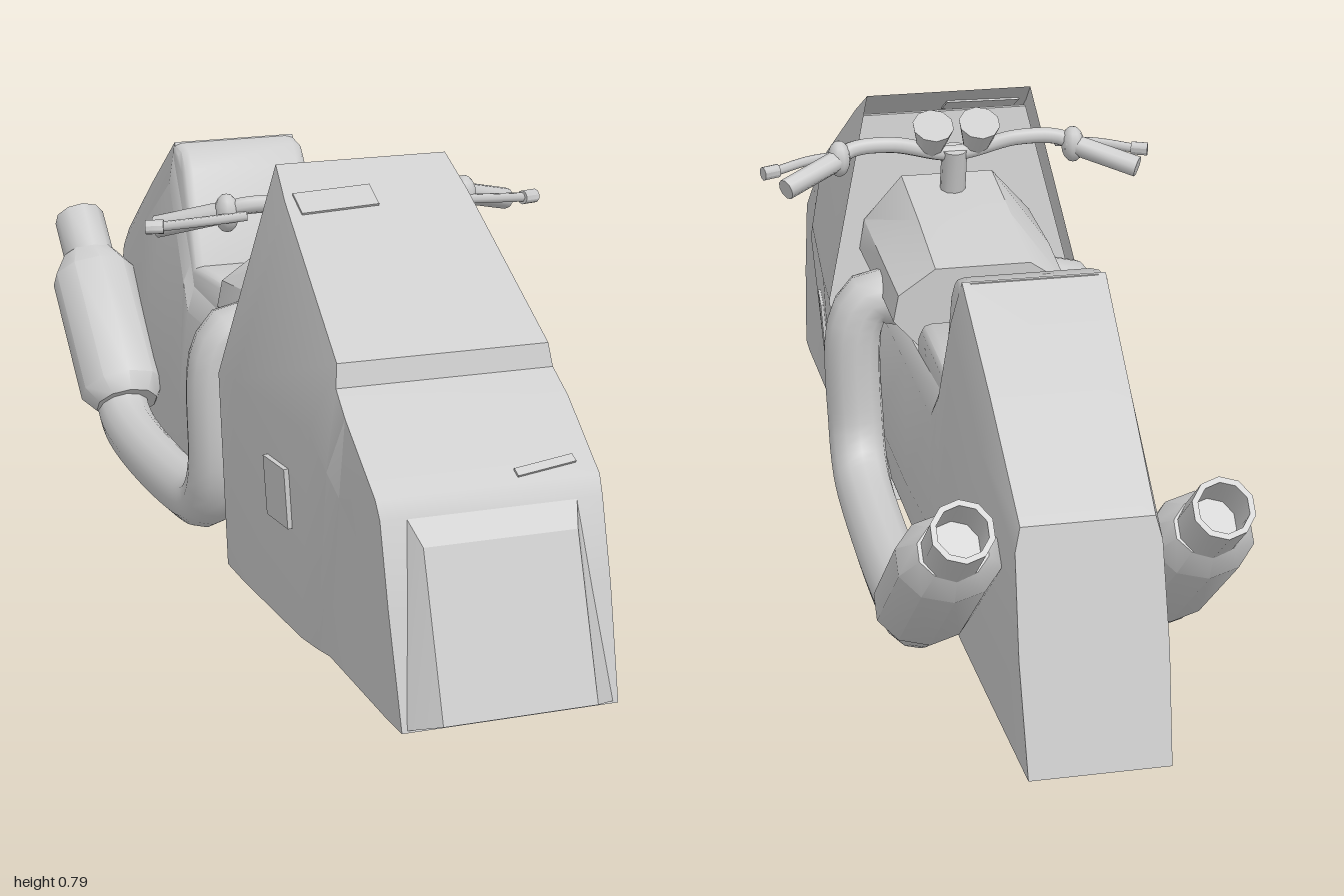
import * as THREE from 'three';
import { toCreasedNormals } from 'three/addons/utils/BufferGeometryUtils.js';

const V = (x, y, z) => new THREE.Vector3(x, y, z);

export function createModel() {
  const model = new THREE.Group();
  const grey = new THREE.MeshStandardMaterial({ color: 0xcccccc });
  const greyBoth = new THREE.MeshStandardMaterial({ color: 0xcccccc, side: THREE.DoubleSide });

  function add(name, geometry, material = grey) {
    const mesh = new THREE.Mesh(geometry, material);
    mesh.name = name;
    model.add(mesh);
    return mesh;
  }

  // Mirrors half sections (bottom to top, +x side) and skins them front to back
  function loft(halves, { front = true, back = true, crease = 0.6 } = {}) {
    const rings = halves.map(h => [...h, ...h.map(([x, y, z]) => [-x, y, z]).reverse()]);
    const n = rings[0].length, pos = rings.flat(2), idx = [];
    for (let i = 0; i < rings.length - 1; i++) {
      for (let j = 0; j < n; j++) {
        const k = (j + 1) % n, a = i * n + j, b = i * n + k;
        idx.push(a, a + n, b + n, a, b + n, b);
      }
    }
    const cap = (i, flip) => {
      const c = pos.length / 3;
      for (let k = 0; k < 3; k++) pos.push(rings[i].reduce((s, p) => s + p[k], 0) / n);
      for (let j = 0; j < n; j++) {
        const a = i * n + j, b = i * n + (j + 1) % n;
        idx.push(c, flip ? b : a, flip ? a : b);
      }
    };
    if (front) cap(0, false);
    if (back) cap(rings.length - 1, true);
    const g = new THREE.BufferGeometry();
    g.setAttribute('position', new THREE.Float32BufferAttribute(pos, 3));
    g.setIndex(idx);
    return toCreasedNormals(g, crease);
  }

  function tube(name, points, radius, sides = 10) {
    const path = new THREE.CatmullRomCurve3(points.map(p => V(...p)), false, 'centripetal');
    return add(name, new THREE.TubeGeometry(path, points.length * 5, radius, sides), greyBoth);
  }

  // Solid rod between two points
  function rod(name, a, b, r1, r2 = r1, sides = 10) {
    const from = V(...a), to = V(...b), dir = to.clone().sub(from);
    const g = toCreasedNormals(new THREE.CylinderGeometry(r2, r1, dir.length(), sides), 0.9);
    const m = add(name, g);
    m.position.copy(from).add(to).multiplyScalar(0.5);
    m.quaternion.setFromUnitVectors(V(0, 1, 0), dir.normalize());
    return m;
  }

  // Front cowl: bottom, waist and upper edge of each section
  const cowl = [
    [[0.19, 0.01, 0.96], [0.195, 0.2, 0.908], [0.195, 0.34, 0.867]],
    [[0.192, 0.01, 0.9], [0.196, 0.22, 0.87], [0.197, 0.37, 0.85]],
    [[0.19, 0.01, 0.62], [0.2, 0.32, 0.69], [0.199, 0.465, 0.715]],
    [[0.195, 0.005, 0.57], [0.215, 0.36, 0.67], [0.195, 0.5, 0.66]],
    [[0.2, 0, 0.5], [0.222, 0.41, 0.6], [0.19, 0.54, 0.65]],
    [[0.21, 0, 0.21], [0.248, 0.41, 0.28], [0.17, 0.74, 0.33]],
    [[0.21, 0, 0.11], [0.25, 0.4, 0.19], [0.16, 0.79, 0.25]],
  ];
  add('frontCowl', loft(cowl, { back: false, crease: 0.4 }), greyBoth);

  // Recessed panel behind the windshield
  const inset = cowl[5].map(([x, y, z]) => [x * 0.98, y * 0.98 + 0.004, z]);
  add('cowlBackPanel', loft([inset, inset.map(([x, y, z]) => [x, y, z - 0.01])]));

  // Raised nose grille with sloping surround
  add('noseGrille', loft([
    [[0.135, 0.03, 1.0], [0.135, 0.3, 0.905]],
    [[0.185, 0.012, 0.955], [0.15, 0.34, 0.865]],
  ], { crease: 0.2 }));

  // Small patches on the windshield, nose and flanks
  const shieldPatch = add('windshieldPatch', new THREE.BoxGeometry(0.145, 0.05, 0.008));
  shieldPatch.position.set(-0.078, 0.738, 0.334);
  shieldPatch.rotation.set(-1.01, 0, 0.06);
  const slit = add('noseSlit', new THREE.BoxGeometry(0.11, 0.016, 0.008));
  slit.position.set(0.108, 0.386, 0.828);
  slit.rotation.set(-0.95, 0, 0.15);
  for (const s of [1, -1]) {
    const vent = add('sideVent', new THREE.BoxGeometry(0.014, 0.11, 0.09));
    vent.position.set(s * 0.222, 0.255, 0.445);
    vent.rotation.set(0, -s * 0.09, -s * 0.07);
  }

  // Main body with tall tail
  add('mainBody', loft([
    [[0.13, 0.005, 0.25], [0.15, 0.12, 0.25], [0.15, 0.37, 0.25], [0.13, 0.4, 0.25]],
    [[0.13, 0.005, -0.07], [0.15, 0.12, -0.07], [0.15, 0.37, -0.07], [0.13, 0.4, -0.07]],
    [[0.13, 0.005, -0.3], [0.15, 0.14, -0.3], [0.15, 0.37, -0.33], [0.13, 0.415, -0.35]],
    [[0.13, 0.005, -0.4], [0.15, 0.16, -0.4], [0.145, 0.42, -0.375], [0.13, 0.46, -0.37]],
    [[0.13, 0.005, -0.5], [0.148, 0.2, -0.5], [0.142, 0.6, -0.475], [0.125, 0.68, -0.49]],
    [[0.125, 0.005, -0.72], [0.14, 0.2, -0.72], [0.135, 0.46, -0.7], [0.118, 0.55, -0.69]],
    [[0.12, 0.01, -1.0], [0.125, 0.2, -0.947], [0.122, 0.37, -0.9], [0.112, 0.41, -0.89]],
  ]));

  // Seat pad and backrest in one side profile
  const seat = new THREE.Shape([
    [0.11, 0.39], [0.11, 0.43], [0.14, 0.455], [0.36, 0.442], [0.425, 0.63],
    [0.45, 0.66], [0.485, 0.665], [0.5, 0.6], [0.43, 0.4],
  ].map(([x, y]) => new THREE.Vector2(x, y)));
  const seatGeometry = new THREE.ExtrudeGeometry(seat, {
    depth: 0.22, bevelSize: 0.012, bevelThickness: 0.02, bevelSegments: 2,
  });
  seatGeometry.translate(0, 0, -0.11).rotateY(Math.PI / 2);
  add('seatAndBackrest', toCreasedNormals(seatGeometry, 0.8));

  // Tank with chamfered shoulders
  add('tank', loft([
    [[0.13, 0.39, 0.28], [0.175, 0.47, 0.28], [0.165, 0.53, 0.28], [0.09, 0.615, 0.28]],
    [[0.13, 0.39, 0.1], [0.175, 0.47, 0.1], [0.165, 0.52, 0.1], [0.09, 0.585, 0.1]],
    [[0.12, 0.395, -0.07], [0.17, 0.45, -0.07], [0.16, 0.5, -0.07], [0.09, 0.548, -0.07]],
  ]));

  // Exhausts: bent pipe, faceted muffler and hollow tip
  const muffler = [[0, 0], [0.065, 0], [0.09, 0.035], [0.09, 0.325], [0.06, 0.375], [0, 0.375]]
    .map(([r, h]) => new THREE.Vector2(r, h));
  const tip = [[0.053, 0.34], [0.053, 0.48], [0.043, 0.48], [0.043, 0.39], [0, 0.39]]
    .map(([r, h]) => new THREE.Vector2(r, h));
  for (const s of [1, -1]) {
    tube('exhaustPipe', [
      [s * 0.11, 0.435, 0.08], [s * 0.185, 0.445, 0.08], [s * 0.217, 0.40, 0.08],
      [s * 0.22, 0.18, 0.073], [s * 0.22, 0.115, 0.035], [s * 0.22, 0.085, -0.03],
      [s * 0.22, 0.085, -0.54], [s * 0.213, 0.14, -0.63],
    ], 0.054, 12);
    const parts = [
      add('muffler', toCreasedNormals(new THREE.LatheGeometry(muffler, 10), 0.7)),
      add('exhaustTip', toCreasedNormals(new THREE.LatheGeometry(tip, 10), 0.7), greyBoth),
    ];
    parts[0].scale.z = 0.84;
    for (const part of parts) {
      part.position.set(s * 0.213, 0.115, -0.57);
      part.rotation.x = -0.85;
    }
  }

  // Handlebar with grips, levers, clamps and gauges
  tube('handlebar', [
    [-0.24, 0.69, 0.17], [-0.2, 0.705, 0.19], [-0.12, 0.705, 0.2], [0, 0.68, 0.205],
    [0.12, 0.705, 0.2], [0.2, 0.705, 0.19], [0.24, 0.69, 0.17],
  ], 0.016, 8);
  rod('steeringStem', [0, 0.56, 0.23], [0, 0.69, 0.2], 0.025);
  for (const s of [1, -1]) {
    rod('grip', [s * 0.22, 0.695, 0.178], [s * 0.34, 0.66, 0.11], 0.02);
    tube('lever', [[s * 0.2, 0.69, 0.205], [s * 0.28, 0.685, 0.2], [s * 0.35, 0.676, 0.175]], 0.009, 6);
    rod('leverEnd', [s * 0.345, 0.676, 0.178], [s * 0.375, 0.675, 0.167], 0.013);
    const clamp = add('clamp', new THREE.SphereGeometry(0.028, 10, 8));
    clamp.position.set(s * 0.228, 0.692, 0.178);
    clamp.scale.set(0.8, 1.25, 1);
    rod('gauge', [s * 0.045, 0.69, 0.215], [s * 0.045, 0.745, 0.18], 0.025, 0.04, 10);
  }

  return model;
}
